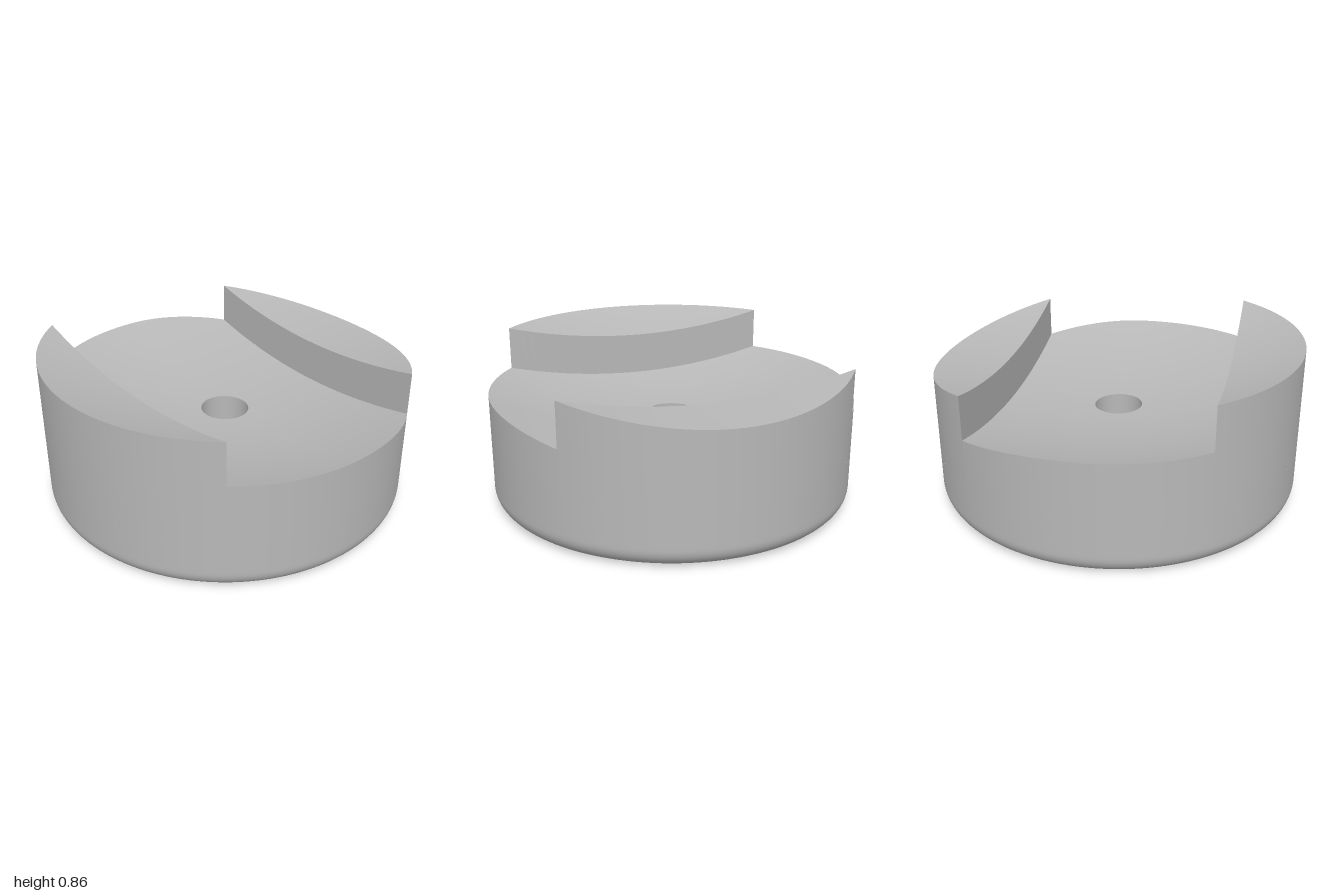
import * as THREE from 'three';

const STEP = 0.617;            // half width of the channel
const P = Math.acos(STEP);     // rim angle where the channel meets the wall
const HOLE = 0.132, BORE = 0.25, BORE_H = 0.23;
const BASE = 0.3;              // height where the turned base ends
const DEPTH = 0.238;           // channel depth

// Scooped top: spherical on the left-hand side, cylindrical along +x
function topY(x, z) {
  const R = 3.25, dx = Math.min(x - 0.04, 0);
  return 0.6925 + R - Math.sqrt(R * R - dx * dx - z * z);
}
const floorY = (x, z) => topY(x, z) - DEPTH;

// Surface patch; it faces along (d/du) x (d/dv)
function patch(nu, nv, f) {
  const pos = [], idx = [];
  for (let i = 0; i <= nu; i++)
    for (let j = 0; j <= nv; j++) pos.push(...f(i / nu, j / nv));
  for (let i = 0; i < nu; i++)
    for (let j = 0; j < nv; j++) {
      const a = i * (nv + 1) + j, b = a + nv + 1;
      idx.push(a, b, b + 1, a, b + 1, a + 1);
    }
  const g = new THREE.BufferGeometry();
  g.setAttribute('position', new THREE.Float32BufferAttribute(pos, 3));
  g.setIndex(idx);
  g.computeVertexNormals();
  return g;
}

export function createModel() {
  const group = new THREE.Group();
  const grey = new THREE.MeshStandardMaterial({ color: 0xb8b8b8 });
  grey.name = 'grey';
  const add = (name, geometry) => {
    const mesh = new THREE.Mesh(geometry, grey);
    mesh.name = name;
    group.add(mesh);
  };
  const lathe = (name, pts) =>
    add(name, new THREE.LatheGeometry(pts.map(p => new THREE.Vector2(...p)), 128));

  // Base with rounded lower edge
  const profile = [[BORE, 0], [0.88, 0]];
  for (let i = 0; i <= 10; i++) {
    const a = i / 10 * Math.PI / 2;
    profile.push([0.9 + 0.1 * Math.sin(a), 0.1 - 0.1 * Math.cos(a)]);
  }
  profile.push([1, 0.12], [1, BASE]);
  lathe('base', profile);

  // Counterbore underneath
  lathe('counterboreWall', [[BORE, BORE_H], [BORE, 0]]);
  lathe('counterboreCeiling', [[HOLE, BORE_H], [BORE, BORE_H]]);

  // Centre hole
  add('holeWall', patch(64, 1, (u, v) => {
    const x = HOLE * Math.cos(u * 2 * Math.PI), z = HOLE * Math.sin(u * 2 * Math.PI);
    return [x, BORE_H + v * (floorY(x, z) - BORE_H), z];
  }));

  // Outer wall in four arcs, tall beside the shoulders and low across the channel
  const arcs = [
    ['rightWall', -P, P, topY], ['frontWall', P, Math.PI - P, floorY],
    ['leftWall', Math.PI - P, Math.PI + P, topY],
    ['backWall', Math.PI + P, 2 * Math.PI - P, floorY],
  ];
  const N = 36, angles = [-P];
  for (const [name, a0, a1, height] of arcs) {
    add(name, patch(1, N, (u, v) => {
      const a = a0 + v * (a1 - a0), x = Math.cos(a), z = Math.sin(a);
      return [x, BASE + u * (height(x, z) - BASE), z];
    }));
    for (let i = 1; i <= N; i++) angles.push(a0 + i / N * (a1 - a0));
  }

  // Channel floor, from the hole out to the steps and the rim
  const n = angles.length - 1;
  add('channelFloor', patch(n, 24, (u, v) => {
    const a = angles[Math.round(u * n)];
    const edge = Math.min(1, STEP / Math.max(Math.abs(Math.cos(a)), 1e-6));
    const r = HOLE + v * (edge - HOLE), x = r * Math.cos(a), z = r * Math.sin(a);
    return [x, floorY(x, z), z];
  }));

  // Raised shoulders and the steps down to the channel
  const halfZ = Math.sin(P);
  for (const s of [1, -1]) {
    const side = s > 0 ? 'left' : 'right';
    add(side + 'ShoulderTop', patch(32, 18, (u, v) => {
      const a = P * (s > 0 ? 1 - v : v);
      const x = s * Math.cos(a), z = (2 * u - 1) * Math.sin(a);
      return [x, topY(x, z), z];
    }));
    const stepPoint = (t, h) => {
      const z = (2 * t - 1) * halfZ;
      return [s * STEP, floorY(s * STEP, z) + h * DEPTH, z];
    };
    add(side + 'Step', s > 0
      ? patch(32, 1, (u, v) => stepPoint(u, v))
      : patch(1, 32, (u, v) => stepPoint(v, u)));
  }
  return group;
}
